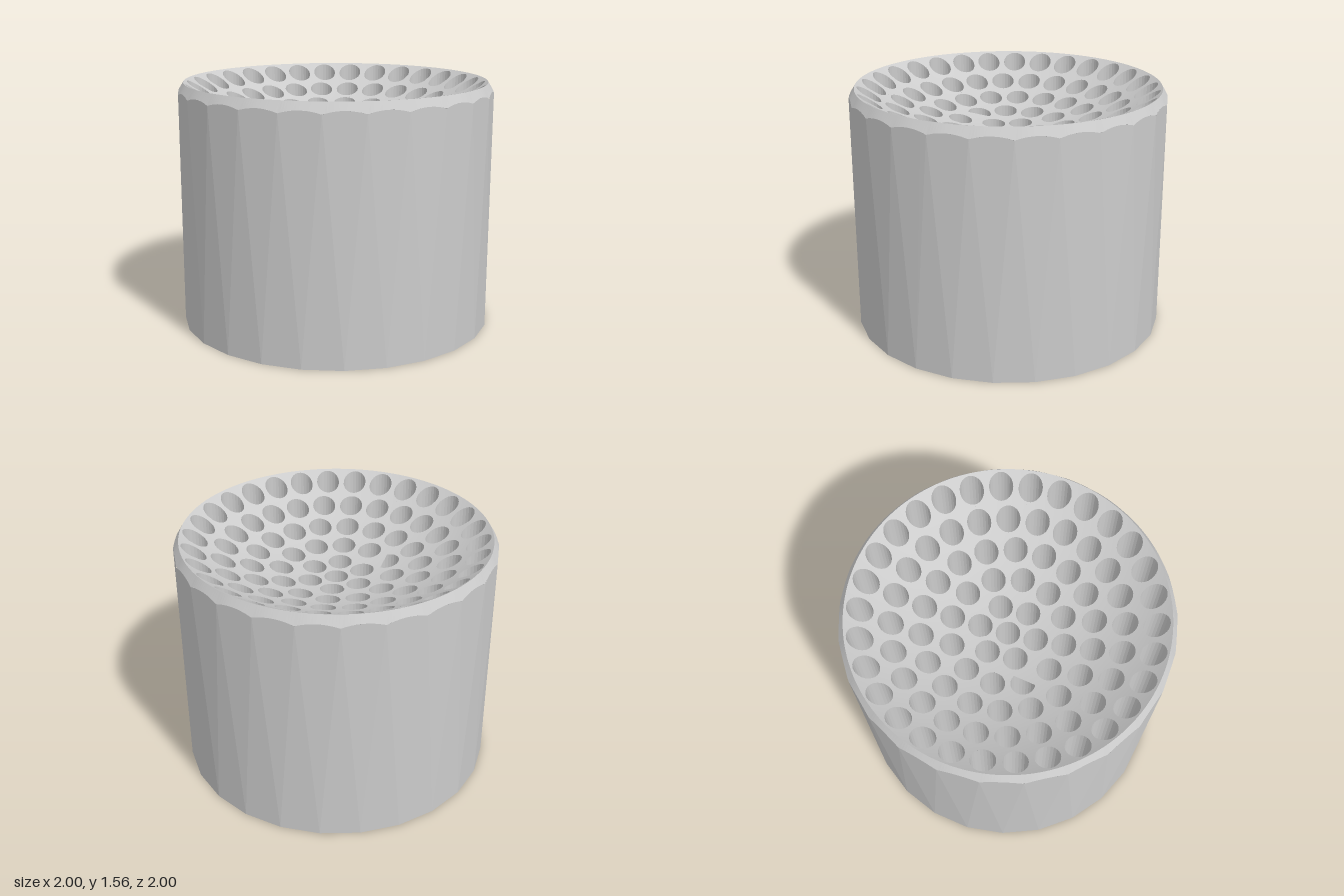
import * as THREE from 'three';
import { mergeGeometries } from 'three/addons/utils/BufferGeometryUtils.js';

const SIDES = 25, STEP = (Math.PI * 2) / SIDES; // faceted outer wall
const PITCH = 0.175, HOLE = 0.075, RIM = 5.5 * PITCH; // ring spacing, hole and rim radius
const BOWL = 1.64, BOWL_Y = 1.25; // sphere radius and lowest point of the dish
const HOLE_SIDES = 24, ARC = 360;

const dishY = (x, z) => BOWL_Y + BOWL - Math.sqrt(BOWL * BOWL - x * x - z * z);
const polar = (r, a, y = 0) => new THREE.Vector3(r * Math.sin(a), y, r * Math.cos(a));
const flat = (p) => new THREE.Vector2(p.x, p.z);

// Upper edge of the faceted wall: it rises where the flat facets cut into the bevel
function wallTop(a) {
  const local = ((a % STEP) + STEP) % STEP - STEP / 2;
  const r = Math.cos(STEP / 2) / Math.cos(local);
  return polar(r, a, 1.495 + 2.5 * (1 - r));
}

function fromTriangles(points) {
  const g = new THREE.BufferGeometry().setFromPoints(points);
  g.computeVertexNormals();
  return g;
}

// Quads between two loops of points
function strip(lower, upper) {
  const pts = [];
  for (let i = 0; i < lower.length - 1; i++) {
    pts.push(lower[i], lower[i + 1], upper[i + 1], lower[i], upper[i + 1], upper[i]);
  }
  return fromTriangles(pts);
}

// Hole centres: a centre hole and five rings of 6, 12, 18, 24 and 30
function holeCentres() {
  const list = [];
  for (let ring = 0; ring <= 5; ring++) {
    const n = Math.max(1, ring * 6);
    for (let i = 0; i < n; i++) {
      const angle = (i / n) * Math.PI * 2;
      list.push({ ring, n, angle, c: polar(ring * PITCH, angle) });
    }
  }
  return list;
}

function holeLoop(c) {
  return Array.from({ length: HOLE_SIDES }, (_, i) =>
    polar(HOLE, (i / HOLE_SIDES) * Math.PI * 2).add(c));
}

// One ring sector of the dish with its hole, lifted onto the sphere
function dishTile({ ring, n, angle, c }) {
  const outline = [], segs = ARC / n, half = Math.PI / n;
  const arc = (r, dir) => {
    const count = ring ? segs : segs - 1;
    for (let i = 0; i <= count; i++) {
      outline.push(flat(polar(r, angle + dir * half * ((2 * i) / segs - 1))));
    }
  };
  arc((ring + 0.5) * PITCH, 1);
  if (ring) arc((ring - 0.5) * PITCH, -1);
  const shape = new THREE.Shape(outline);
  shape.holes.push(new THREE.Path(holeLoop(c).map(flat)));
  const g = new THREE.ShapeGeometry(shape).rotateX(-Math.PI / 2);
  const p = g.attributes.position, normal = new THREE.Vector3();
  for (let i = 0; i < p.count; i++) {
    const x = p.getX(i), z = p.getZ(i), y = dishY(x, z);
    p.setY(i, y);
    normal.set(-x, BOWL_Y + BOWL - y, -z).normalize();
    g.attributes.normal.setXYZ(i, normal.x, normal.y, normal.z);
  }
  return g;
}

// Straight bore from the base up to the dish
function bore({ c }) {
  const loop = holeLoop(c).reverse();
  loop.push(loop[0]);
  return strip(loop, loop.map((p) => p.clone().setY(dishY(p.x, p.z))));
}

// Half width of the slot left open under a hole
function openHalf({ ring, c }) {
  if (ring < 2 || (c.x > 0.2 && Math.abs(c.z) < 0.2)) return 0;
  return [0, 0, 0.018, 0.018, 0.03, 0.055][ring];
}

export function createModel() {
  const group = new THREE.Group();
  const add = (name, geometry, options = {}) => {
    const mesh = new THREE.Mesh(geometry,
      new THREE.MeshStandardMaterial({ color: 0xcccccc, ...options }));
    mesh.name = name;
    group.add(mesh);
  };
  const holes = holeCentres();

  // Outer wall: alternating triangles, lower corners half a step off the upper ones
  const wall = [], base = [];
  for (let i = 0; i <= SIDES; i++) base.push(polar(1, (i + 0.5) * STEP));
  for (let i = 0; i < SIDES; i++) {
    for (let j = 0; j < 6; j++) {
      wall.push(base[i], wallTop((i + (j + 1) / 6) * STEP), wallTop((i + j / 6) * STEP));
    }
    wall.push(base[i], base[i + 1], wallTop((i + 1) * STEP));
  }
  add('outerWall', fromTriangles(wall), { flatShading: true });

  // Bevel between the wall and the rim of the dish
  const outer = [], inner = [];
  for (let i = 0; i <= ARC; i++) {
    const a = (i / ARC) * Math.PI * 2;
    outer.push(wallTop(a));
    inner.push(polar(RIM, a, dishY(RIM, 0)));
  }
  add('rimBevel', strip(outer, inner), { flatShading: true });

  // Perforated dish and the bores below it
  add('dish', mergeGeometries(holes.map(dishTile)));
  add('holeWalls', mergeGeometries(holes.map(bore)), { flatShading: true });

  // Base plate, with the holes partly closed to slots
  const plate = new THREE.Shape(base.slice(0, SIDES).map(flat));
  for (const hole of holes) {
    const h = openHalf(hole);
    if (!h) continue;
    plate.holes.push(new THREE.Path(holeLoop(hole.c).map((p) => new THREE.Vector2(
      p.x, THREE.MathUtils.clamp(p.z, hole.c.z - h, hole.c.z + h)))));
  }
  add('basePlate', new THREE.ShapeGeometry(plate).rotateX(Math.PI / 2),
    { side: THREE.DoubleSide });

  return group;
}
